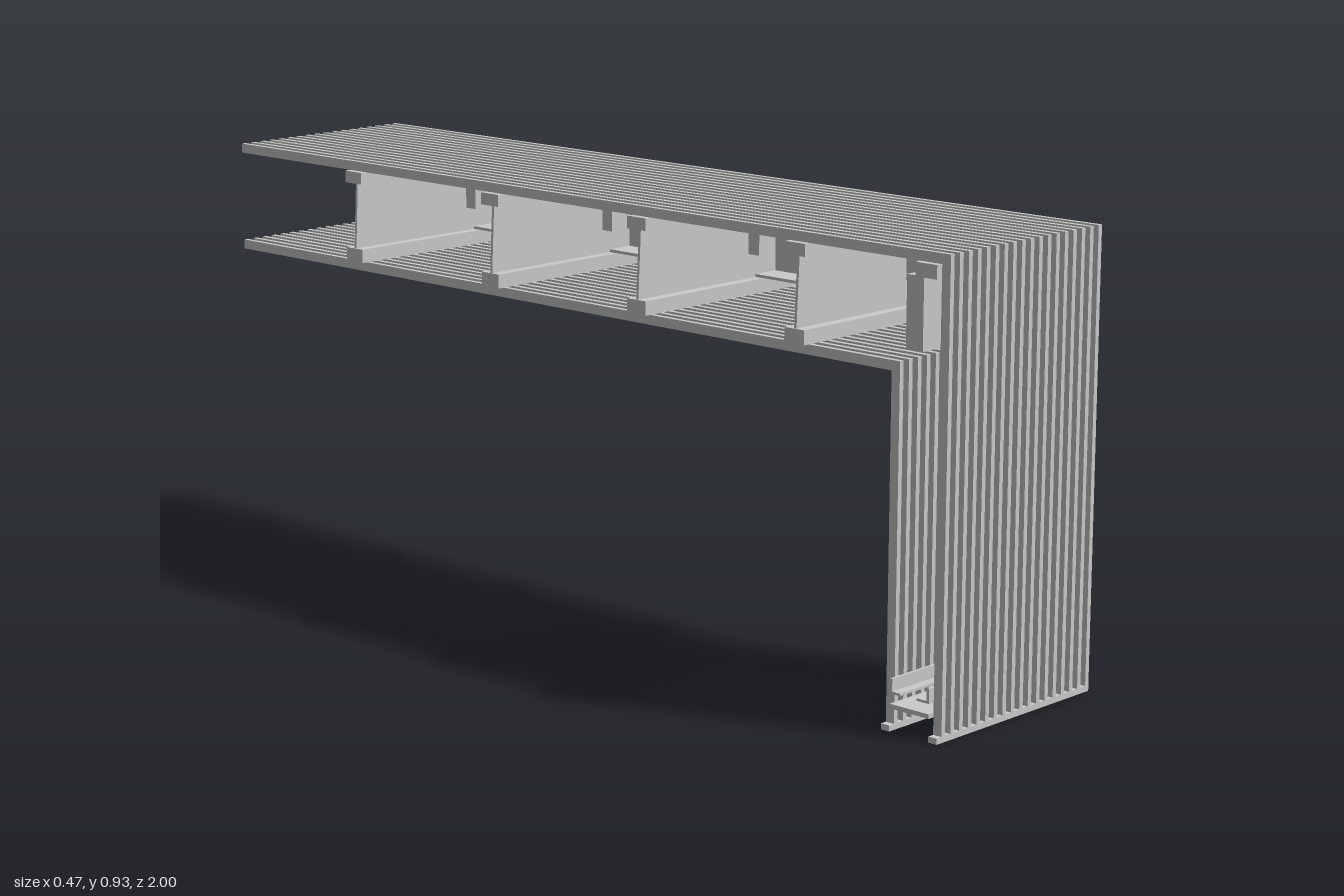
import * as THREE from 'three';

const mat = new THREE.MeshStandardMaterial({ color: 0xcccccc, flatShading: true, side: THREE.DoubleSide });

export function createModel() {
  const model = new THREE.Group();

  const add = (name, geo) => {
    const mesh = new THREE.Mesh(geo, mat);
    mesh.name = name;
    model.add(mesh);
    return mesh;
  };
  // box given by its limits on each axis
  const box = (name, x0, x1, y0, y1, z0, z1) =>
    add(name, new THREE.BoxGeometry(x1 - x0, y1 - y0, z1 - z0)
      .translate((x0 + x1) / 2, (y0 + y1) / 2, (z0 + z1) / 2));
  const polygon = (pts) => new THREE.Shape(pts.map(([a, b]) => new THREE.Vector2(a, b)));

  // bent slat: horizontal run that turns down into the leg; drawn in (z, y), extruded along x
  const slatGeometry = (top, front) => {
    const t = 0.02;
    const shape = polygon([[-1, top], [front, top], [front, 0], [front - t, 0], [front - t, top - t], [-1, top - t]]);
    return new THREE.ExtrudeGeometry(shape, { depth: 0.0105, bevelEnabled: false })
      .translate(0, 0, -0.00525).rotateY(-Math.PI / 2).scale(1, 1, 1);
  };
  const outer = slatGeometry(0.925, 1);
  const inner = slatGeometry(0.711, 0.885);
  for (let i = 0; i < 18; i++) {
    const x = -0.2155 + i * 0.0261;
    add('outerSlat', outer).position.x = x;
    add('innerSlat', inner).position.x = x;
  }

  // channel beam along the side, open towards -x
  const t = 0.006;
  box('beamWeb', 0.172, 0.178, 0.74, 0.865, -1, 0.95);
  box('beamBottomFlange', 0.112, 0.172, 0.74, 0.74 + t, -1, 0.95);
  box('beamTopFlange', 0.112, 0.172, 0.865 - t, 0.865, -1, 0.95);

  // post inside the leg and the arm at its top
  box('post', 0.112, 0.178, 0.055, 0.87, 0.91, 0.95);
  box('cornerArm', -0.235, 0.112, 0.74, 0.88, 0.91, 0.95);
  box('cornerTopBar', -0.235, 0.226, 0.878, 0.905, 0.93, 0.98);

  // cross bars under and over the slats, joined by tapered ribs
  for (const z of [0.637, 0.222, -0.195, -0.615]) {
    box('topCrossBar', -0.235, 0.226, 0.88, 0.905, z - 0.025, z + 0.025);
    box('bottomCrossBar', -0.235, 0.226, 0.711, 0.74, z - 0.025, z + 0.025);
    const rib = polygon([[-0.232, 0.74], [0.172, 0.74], [0.172, 0.865], [0.11, 0.88], [-0.225, 0.88]]);
    add('rib', new THREE.ExtrudeGeometry(rib, { depth: t, bevelEnabled: false })).position.z = z - t / 2;
    box('ribClip', 0.09, 0.12, 0.79, 0.86, z, z + 0.032);
  }

  // foot: tie plate, upright angle strips and closing strips at the floor
  box('footPlate', -0.235, 0.226, 0.046, 0.055, 0.885, 0.98);
  for (const [z0, z1] of [[0.974, 0.98], [0.885, 0.891]]) {
    box('footStrip', -0.235, 0.226, 0.075, 0.105, z0, z1);
  }
  for (const [z0, z1] of [[0.95, 0.98], [0.885, 0.91]]) {
    box('footLedge', -0.235, 0.226, 0.075, 0.08, z0, z1);
  }
  for (const [z0, z1] of [[0.98, 1], [0.865, 0.885]]) {
    box('floorStrip', -0.235, 0.233, 0, 0.012, z0, z1);
  }
  return model;
}
